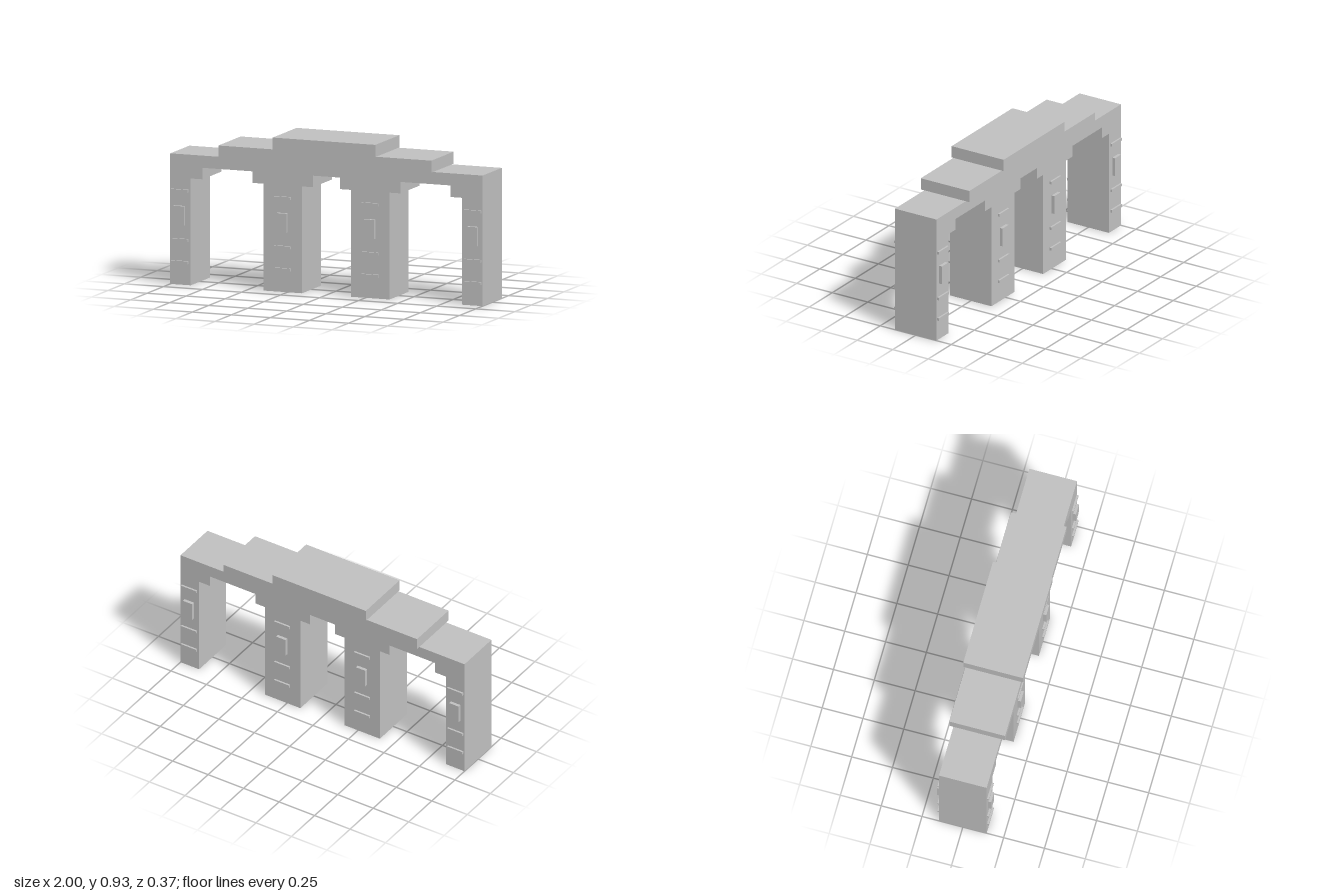
import * as THREE from 'three';

export function createModel() {
  const model = new THREE.Group();
  model.name = 'gateway';
  const stone = new THREE.MeshStandardMaterial({ color: 0xc0c0c0 });
  stone.name = 'grey stone';

  function addBox(parent, name, w, h, d, x, y, z) {
    const mesh = new THREE.Mesh(new THREE.BoxGeometry(w, h, d), stone);
    mesh.name = name;
    mesh.position.set(x, y, z);
    parent.add(mesh);
  }

  // Gate body: four piers, corbelled openings and lintel, as one mirrored outline
  const half = [
    [0.087, 0.709], [0.087, 0.64], [0.156, 0.64], [0.156, 0],
    [0.404, 0], [0.404, 0.64], [0.473, 0.64], [0.473, 0.709],
    [0.794, 0.709], [0.794, 0.64], [0.869, 0.64], [0.869, 0],
    [1, 0], [1, 0.782],
  ];
  const mirrored = half.map(([x, y]) => [-x, y]).reverse();
  const outline = new THREE.Shape([...half, ...mirrored].map(([x, y]) => new THREE.Vector2(x, y)));
  const depth = 0.292;
  const bodyGeometry = new THREE.ExtrudeGeometry(outline, { depth, bevelEnabled: false });
  bodyGeometry.translate(0, 0, -depth / 2);
  const body = new THREE.Mesh(bodyGeometry, stone);
  body.name = 'gateBody';
  model.add(body);

  // Stepped roof slabs
  addBox(model, 'lowerRoofSlab', 1.364, 0.072, 0.342, 0, 0.818, 0);
  addBox(model, 'upperRoofSlab', 0.658, 0.073, 0.366, 0, 0.8905, 0);

  // Raised panel and three bands on the front and back of every pier
  for (const x of [-0.938, -0.281, 0.281, 0.938]) {
    for (const side of [1, -1]) {
      const ornament = new THREE.Group();
      ornament.name = side > 0 ? 'frontPierOrnament' : 'backPierOrnament';
      addBox(ornament, 'panel', 0.066, 0.115, 0.03, x, 0.4155, side * 0.151);
      for (const y of [0.135, 0.268, 0.563]) {
        addBox(ornament, 'band', 0.107, 0.017, 0.022, x, y, side * 0.147);
      }
      model.add(ornament);
    }
  }
  return model;
}
